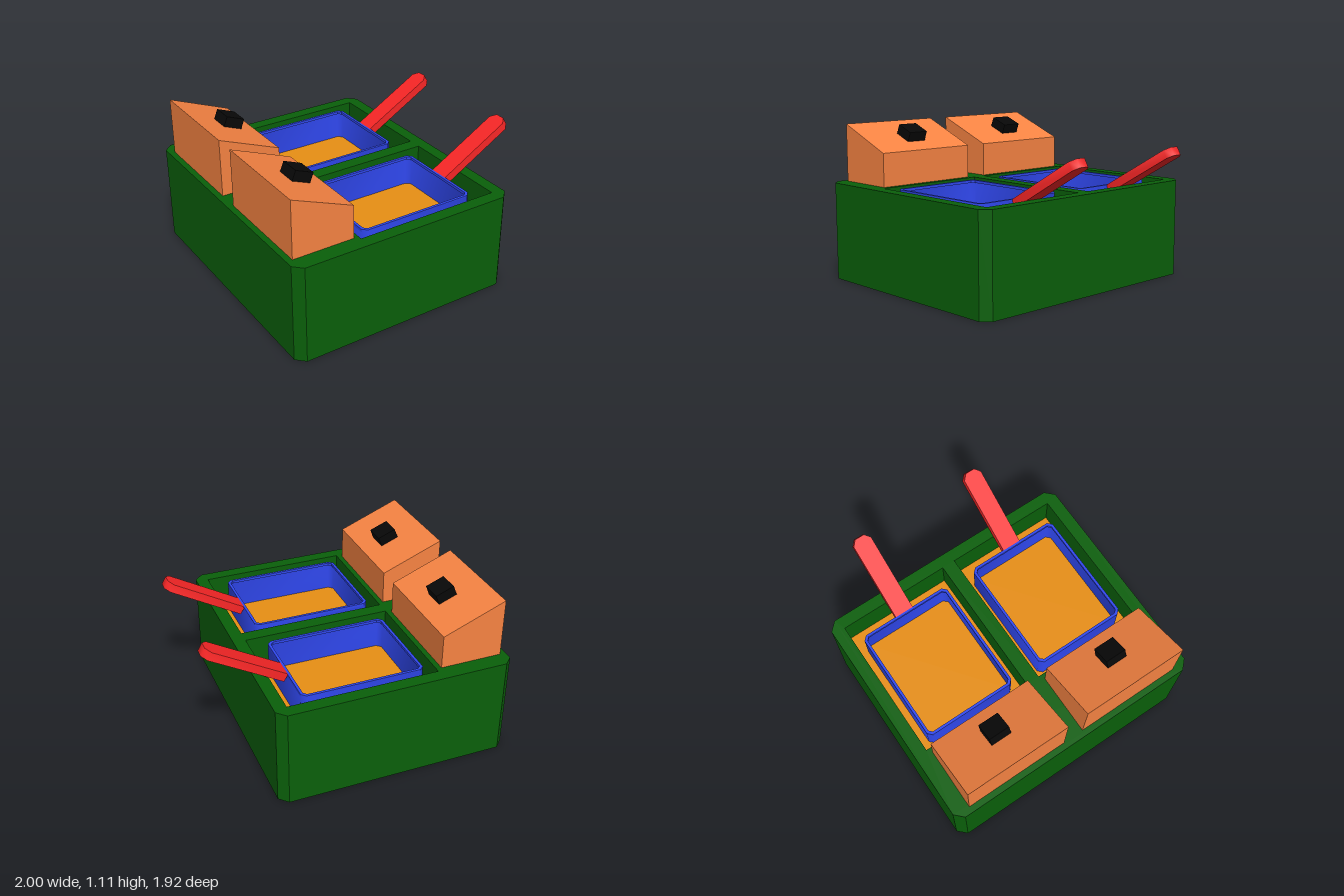
import * as THREE from 'three';
import { toCreasedNormals } from 'three/addons/utils/BufferGeometryUtils.js';

const paint = (color) => new THREE.MeshStandardMaterial({ color, side: THREE.DoubleSide });
const green = paint(0x0a600a);
const orange = paint(0xf88443);
const amber = paint(0xe88f14);
const blue = paint(0x3048f0);
const red = paint(0xf82626);
const black = paint(0x080808);

// Corner points of a rectangle in plan (x, z) with corners cut by c
function outline(x0, x1, z0, z1, c = 0) {
  const p = c
    ? [[x0 + c, z0], [x1 - c, z0], [x1, z0 + c], [x1, z1 - c], [x1 - c, z1], [x0 + c, z1], [x0, z1 - c], [x0, z0 + c]]
    : [[x0, z0], [x1, z0], [x1, z1], [x0, z1]];
  return p.map(([x, z]) => new THREE.Vector2(x, -z));
}

// Upright prism between y0 and y1 from a plan outline with holes
function prism(outer, holes, y0, y1) {
  const shape = new THREE.Shape(outer);
  holes.forEach((h) => shape.holes.push(new THREE.Path(h)));
  const geo = new THREE.ExtrudeGeometry(shape, { depth: y1 - y0, bevelEnabled: false });
  return geo.rotateX(-Math.PI / 2).translate(0, y0, 0);
}

function add(parent, name, geo, material) {
  const mesh = new THREE.Mesh(geo, material);
  mesh.name = name;
  parent.add(mesh);
  return mesh;
}

export function createModel() {
  const model = new THREE.Group();
  model.name = 'doubleFryer';
  const TOP = 0.7;
  const MID = 0.459; // z distance of each fryer from the centre
  const bay = (side) => [-0.48, 0.573, side * MID - 0.41, side * MID + 0.41];

  // Cabinet: thin walls open underneath, top plate with two wells
  add(model, 'cabinetWalls', prism(outline(-1, 0.66, -0.96, 0.96, 0.06),
    [outline(-0.998, 0.658, -0.958, 0.958, 0.059)], 0, TOP), green);
  add(model, 'topPlate', prism(outline(-0.999, 0.659, -0.959, 0.959, 0.06),
    [outline(...bay(-1)), outline(...bay(1))], TOP - 0.003, TOP), green);

  for (const side of [-1, 1]) {
    const fryer = new THREE.Group();
    fryer.name = side > 0 ? 'frontFryer' : 'backFryer';
    fryer.position.z = side * MID;
    model.add(fryer);

    // Well lining and oil surface
    add(fryer, 'wellLining', prism(outline(-0.482, 0.575, -0.412, 0.412),
      [outline(-0.48, 0.573, -0.41, 0.41)], 0.135, TOP - 0.001), green);
    const oil = new THREE.PlaneGeometry(1.053, 0.82).rotateX(-Math.PI / 2);
    add(fryer, 'oil', oil, amber).position.set(0.0465, 0.47, 0);

    // Open basket: thin sleeve with a thicker rim
    const sleeve = prism(outline(-0.415, 0.445, -0.345, 0.345, 0.03),
      [outline(-0.412, 0.442, -0.342, 0.342, 0.029)], 0.2, 0.695);
    add(fryer, 'basket', toCreasedNormals(sleeve, 1), blue);
    add(fryer, 'basketRim', prism(outline(-0.415, 0.445, -0.345, 0.345, 0.03),
      [outline(-0.396, 0.426, -0.326, 0.326, 0.022)], 0.676, 0.696), blue);

    // Flat handle with a cut tip
    const grip = new THREE.Shape([[0, -0.07], [0.575, -0.07], [0.615, -0.035],
      [0.615, 0.035], [0.575, 0.07], [0, 0.07]].map(([x, y]) => new THREE.Vector2(x, y)));
    const gripGeo = new THREE.ExtrudeGeometry(grip, { depth: 0.061, bevelEnabled: false })
      .translate(0, 0, -0.0305).rotateX(-Math.PI / 2).rotateZ(Math.PI / 6);
    add(fryer, 'handle', toCreasedNormals(gripGeo, 1), red).position.set(0.453, 0.667, 0);

    // Sloped control box
    const profile = new THREE.Shape([[-0.957, TOP], [-0.517, TOP], [-0.517, 0.937], [-0.957, 1.113]]
      .map(([x, y]) => new THREE.Vector2(x, y)));
    add(fryer, 'controlBox', new THREE.ExtrudeGeometry(profile, { depth: 0.766, bevelEnabled: false })
      .translate(0, 0, -0.383), orange);

    // Knob on the slope
    const knob = add(fryer, 'knob', new THREE.BoxGeometry(0.138, 0.08, 0.15), black);
    knob.position.set(-0.692, 1.042, 0);
    knob.rotation.z = -Math.atan2(0.176, 0.44);
  }
  return model;
}
